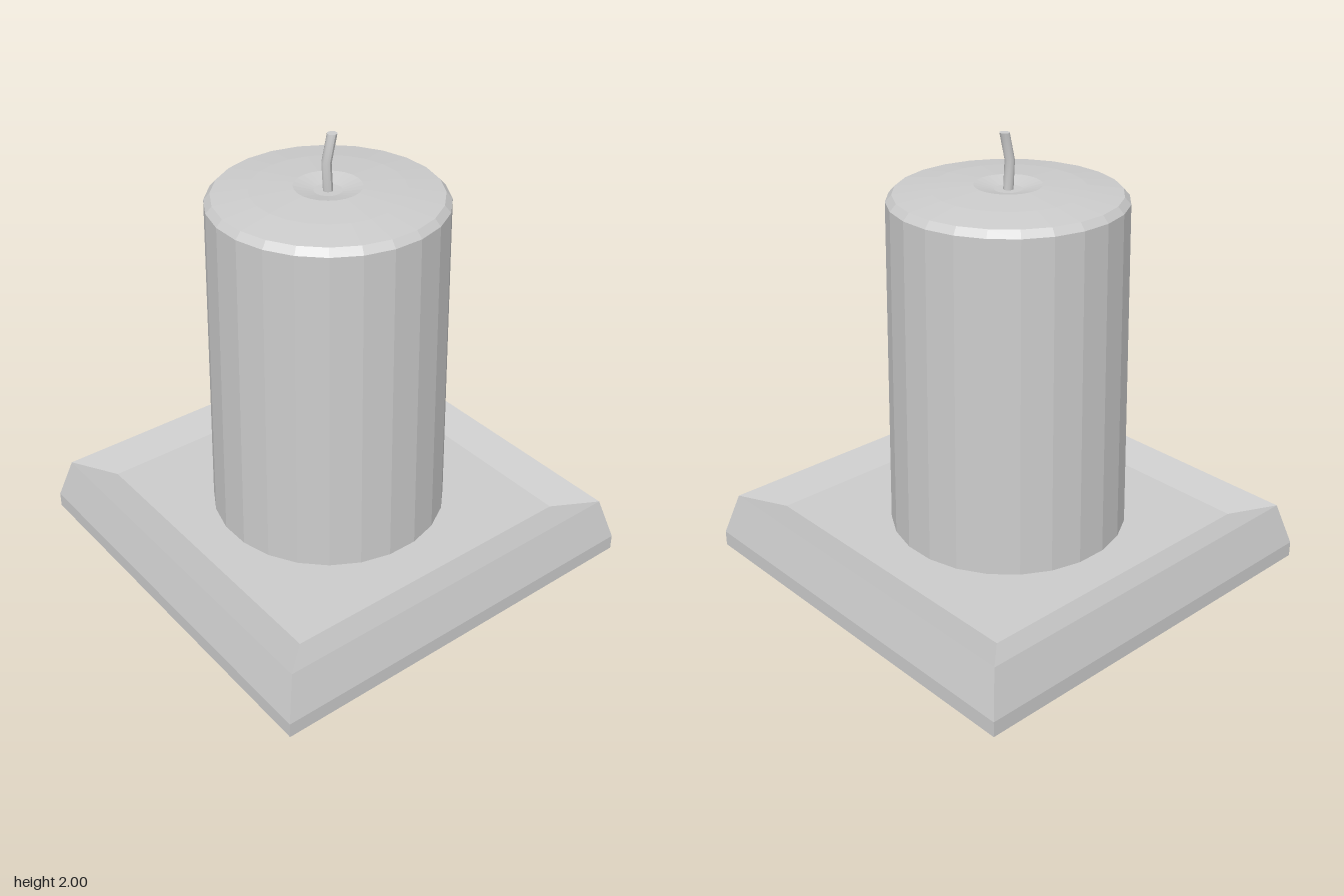
import * as THREE from 'three';

const flat = new THREE.MeshStandardMaterial({ color: 0xcccccc, flatShading: true });
const smooth = new THREE.MeshStandardMaterial({ color: 0xcccccc });

// Faceted turned solid with a side facing straight to the front
function turned(name, profile, sides, scale = 1) {
  const points = profile.map(([r, y]) => new THREE.Vector2(r * scale, y));
  const mesh = new THREE.Mesh(new THREE.LatheGeometry(points, sides, Math.PI / sides, Math.PI * 2), flat);
  mesh.name = name;
  return mesh;
}

export function createModel() {
  const group = new THREE.Group();
  group.name = 'candleOnPlate';

  // Square plate: bevelled outside, sunken tray inside (profile uses half widths)
  group.add(turned('plate', [
    [0, 0], [0.93, 0], [0.93, 0.07], [0.875, 0.265], [0.72, 0.215], [0, 0.215],
  ], 4, Math.SQRT2));

  // Tapered wax body with chamfered rim, domed top and a shallow melt pool
  const candle = turned('candle', [
    [0, 0.21], [0.535, 0.21], [0.512, 1.715], [0.485, 1.745], [0.33, 1.765],
    [0.145, 1.777], [0.06, 1.757], [0, 1.755],
  ], 24);
  candle.position.set(-0.005, 0, -0.008);
  group.add(candle);

  // Bent wick: a cylinder whose three rings are shifted sideways
  const wickGeometry = new THREE.CylinderGeometry(0.022, 0.022, 0.25, 10, 2);
  const rings = [[2, 0.016], [1.88, -0.013], [1.75, -0.005]]; // height, x offset
  const position = wickGeometry.attributes.position;
  for (let i = 0; i < position.count; i++) {
    const [y, x] = rings[Math.round((0.125 - position.getY(i)) / 0.125)];
    position.setX(i, position.getX(i) + x);
    position.setY(i, y);
  }
  wickGeometry.computeVertexNormals();
  const wick = new THREE.Mesh(wickGeometry, smooth);
  wick.name = 'wick';
  wick.position.z = -0.008;
  group.add(wick);

  return group;
}
